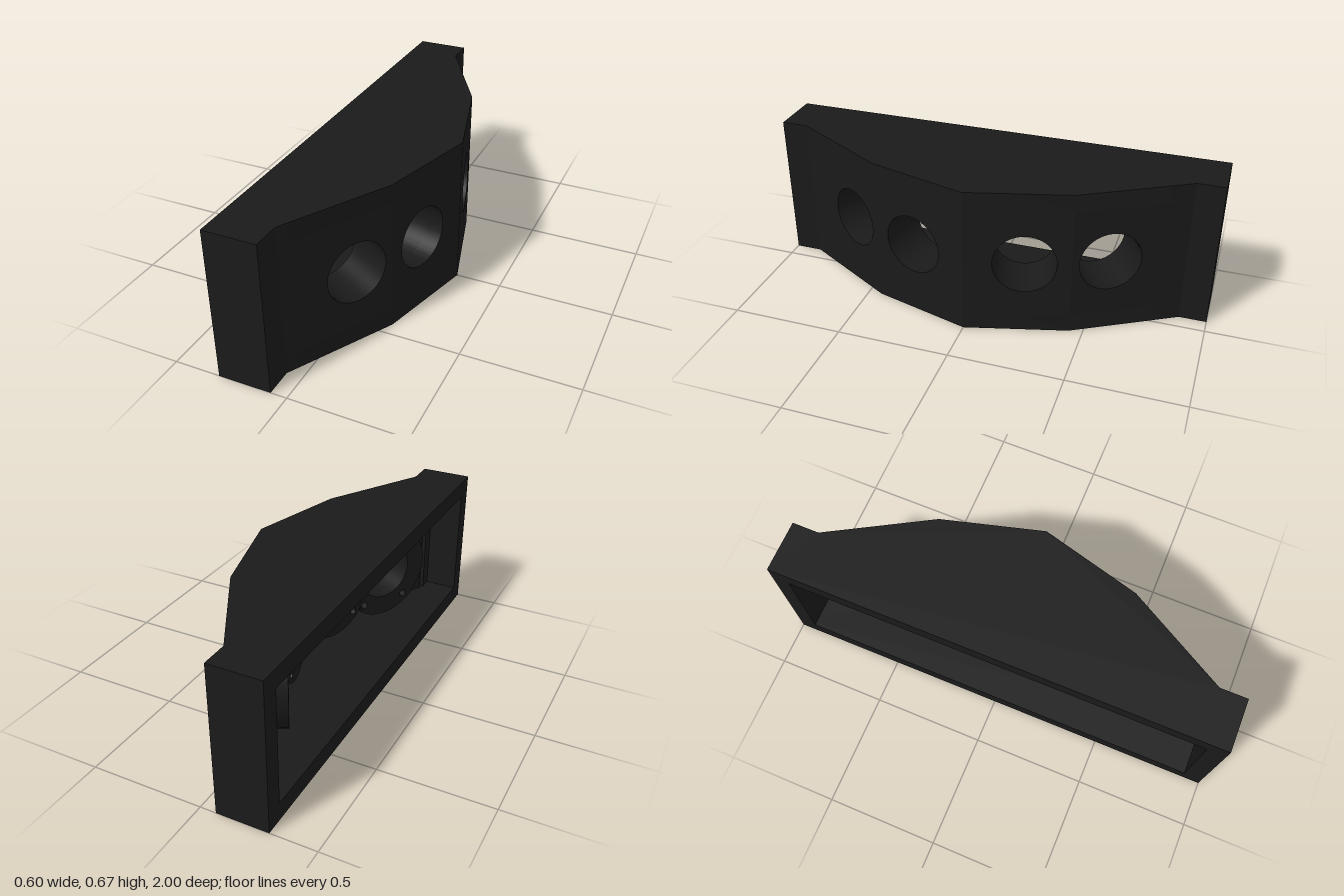
import * as THREE from 'three';
import { toCreasedNormals } from 'three/addons/utils/BufferGeometryUtils.js';

const H = 0.67, WALL = 0.08, MID = H / 2;
const HOLE_R = 0.136, RIM_R = 0.23, RIM_DEPTH = 0.22;

const material = new THREE.MeshStandardMaterial({ color: 0x1a1a1a });

function addMesh(parent, name, geometry) {
  const mesh = new THREE.Mesh(toCreasedNormals(geometry, 0.4), material);
  mesh.name = name;
  parent.add(mesh);
  return mesh;
}

const toShape = (pts) => new THREE.Shape(pts.map(([a, b]) => new THREE.Vector2(a, b)));

function circleHole(x, y, r) {
  const path = new THREE.Path();
  path.absarc(x, y, r, 0, Math.PI * 2, true);
  return path;
}

// Extrudes an outline given in (x, z) upwards from y0 to y1
function slab(pts, y0, y1) {
  const g = new THREE.ExtrudeGeometry(toShape(pts), { depth: y1 - y0, bevelEnabled: false });
  return g.rotateX(Math.PI / 2).translate(0, y1, 0);
}

// Wall panel in local (along, up) coordinates, outer face at z = 0
function panelGeometry(length, centre) {
  const shape = toShape([[0, WALL], [length, WALL], [length, H - WALL], [0, H - WALL]]);
  shape.holes.push(circleHole(centre, MID, HOLE_R));
  return new THREE.ExtrudeGeometry(shape, { depth: WALL, bevelEnabled: false, curveSegments: 48 })
    .translate(0, 0, -WALL);
}

// Thick mounting ring behind a panel, cut straight where it meets its neighbours
function rimGeometry(centre, left, right) {
  const pts = [];
  for (let i = 0; i < 64; i++) {
    const a = (i / 64) * Math.PI * 2;
    const t = THREE.MathUtils.clamp(RIM_R * Math.cos(a), -left, right);
    pts.push([centre + t, MID + RIM_R * Math.sin(a)]);
  }
  const shape = toShape(pts);
  shape.holes.push(circleHole(centre, MID, HOLE_R));
  // Screw holes
  for (const sx of [-1, 1]) for (const sy of [-1, 1]) {
    shape.holes.push(circleHole(centre + sx * 0.115, MID + sy * 0.155, 0.018));
  }
  return new THREE.ExtrudeGeometry(shape, { depth: RIM_DEPTH - WALL, bevelEnabled: false, curveSegments: 48 })
    .translate(0, 0, -RIM_DEPTH);
}

export function createModel() {
  const model = new THREE.Group();
  model.name = 'housing';

  // Faceted front profile, from +z to -z
  const facets = [[-0.07, 0.88], [0.18, 0.44], [0.3, 0], [0.18, -0.44], [-0.07, -0.88]];
  const outline = [[-0.3, 1], [-0.07, 1], ...facets, [-0.07, -1], [-0.3, -1]];

  // Floor and ceiling plates
  addMesh(model, 'floorPlate', slab(outline, 0, WALL));
  addMesh(model, 'ceilingPlate', slab(outline, H - WALL, H));

  // Stepped end walls
  for (const s of [1, -1]) {
    const end = [[-0.3, 1], [-0.07, 1], [-0.07, 0.88], [-0.15, 0.86], [-0.15, 0.92], [-0.3, 0.92]];
    addMesh(model, s > 0 ? 'frontEndWall' : 'backEndWall',
      slab(end.map(([x, z]) => [x, z * s]), WALL, H - WALL));
  }

  // Four angled panels, each with a round port and a mounting ring
  const ports = [
    { centre: 0.339, left: RIM_R, right: 0.139 },
    { centre: 0.197, left: 0.168, right: 0.2 },
    { centre: 0.259, left: 0.2, right: 0.168 },
    { centre: 0.167, left: 0.139, right: RIM_R },
  ];
  ports.forEach(({ centre, left, right }, i) => {
    const a = new THREE.Vector3(facets[i][0], 0, facets[i][1]);
    const b = new THREE.Vector3(facets[i + 1][0], 0, facets[i + 1][1]);
    const along = b.clone().sub(a);
    const length = along.length();
    along.normalize();
    const up = new THREE.Vector3(0, 1, 0);
    const out = along.clone().cross(up);

    const group = new THREE.Group();
    group.name = `portPanel${i + 1}`;
    group.quaternion.setFromRotationMatrix(new THREE.Matrix4().makeBasis(along, up, out));
    group.position.copy(a);
    addMesh(group, 'panel', panelGeometry(length, centre));
    addMesh(group, 'mountingRing', rimGeometry(centre, left, right));
    model.add(group);
  });

  return model;
}
